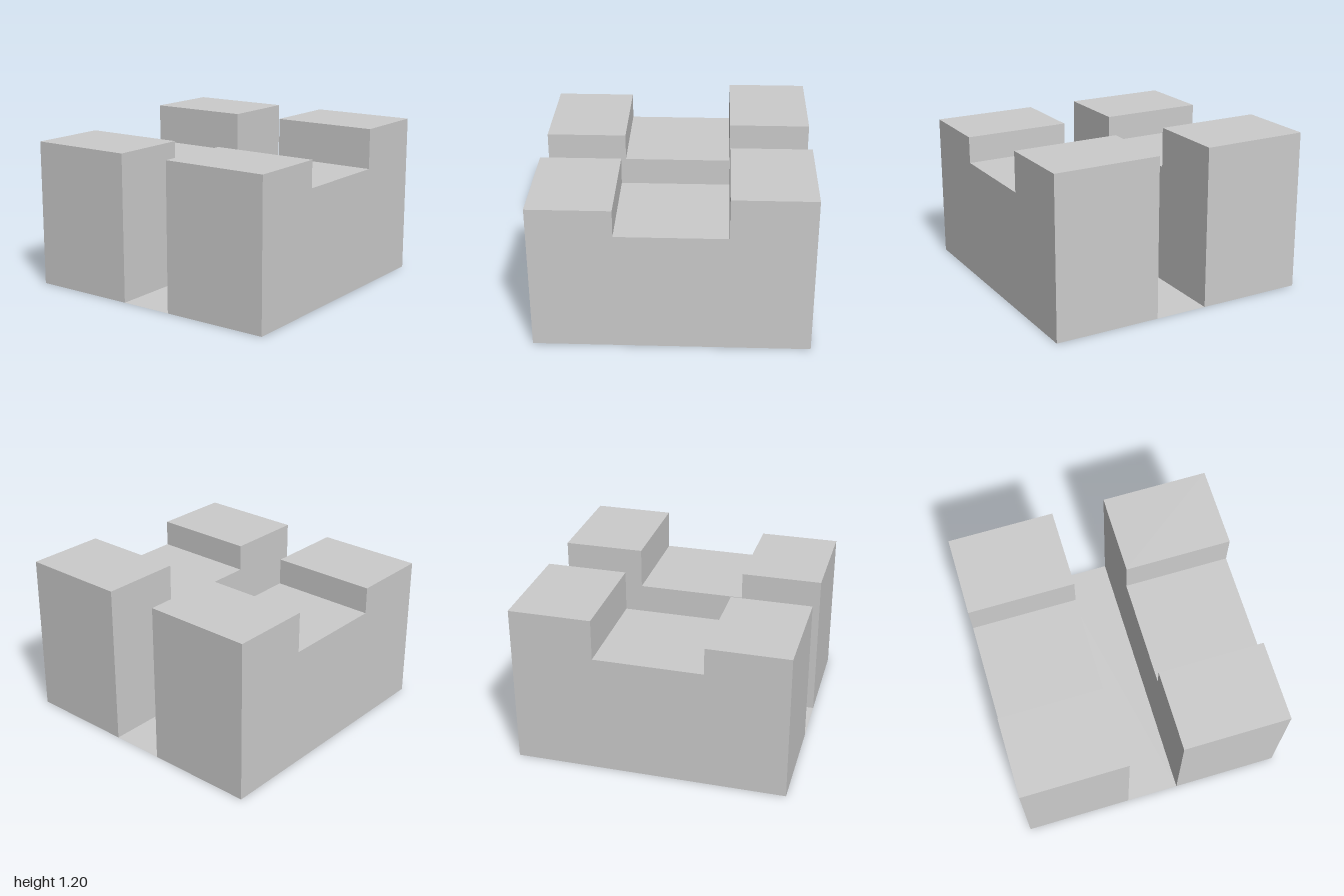
import * as THREE from 'three';

export function createModel() {
  const group = new THREE.Group();
  group.name = 'notchedBlocks';
  const material = new THREE.MeshStandardMaterial({ color: 0xcccccc, flatShading: true });

  // Stepped profile: low shoulder on -x, notch in the middle, tall shoulder on +x
  const profile = new THREE.Shape([
    [-1, 0], [1, 0], [1, 1.2], [0.4, 1.2], [0.4, 0.9], [-0.4, 0.9], [-0.4, 1.1], [-1, 1.1],
  ].map(([x, y]) => new THREE.Vector2(x, y)));
  const geometry = new THREE.ExtrudeGeometry(profile, { depth: 0.8, bevelEnabled: false });

  // Two identical walls, either side of the channel
  for (const [name, z] of [['frontWall', 0.2], ['backWall', -1]]) {
    const wall = new THREE.Mesh(geometry, material);
    wall.name = name;
    wall.position.z = z;
    group.add(wall);
  }

  // Thin floor of the channel, seen from above and below
  const floorMaterial = material.clone();
  floorMaterial.side = THREE.DoubleSide;
  const floor = new THREE.Mesh(new THREE.PlaneGeometry(2, 0.4).rotateX(-Math.PI / 2), floorMaterial);
  floor.name = 'channelFloor';
  group.add(floor);

  return group;
}
